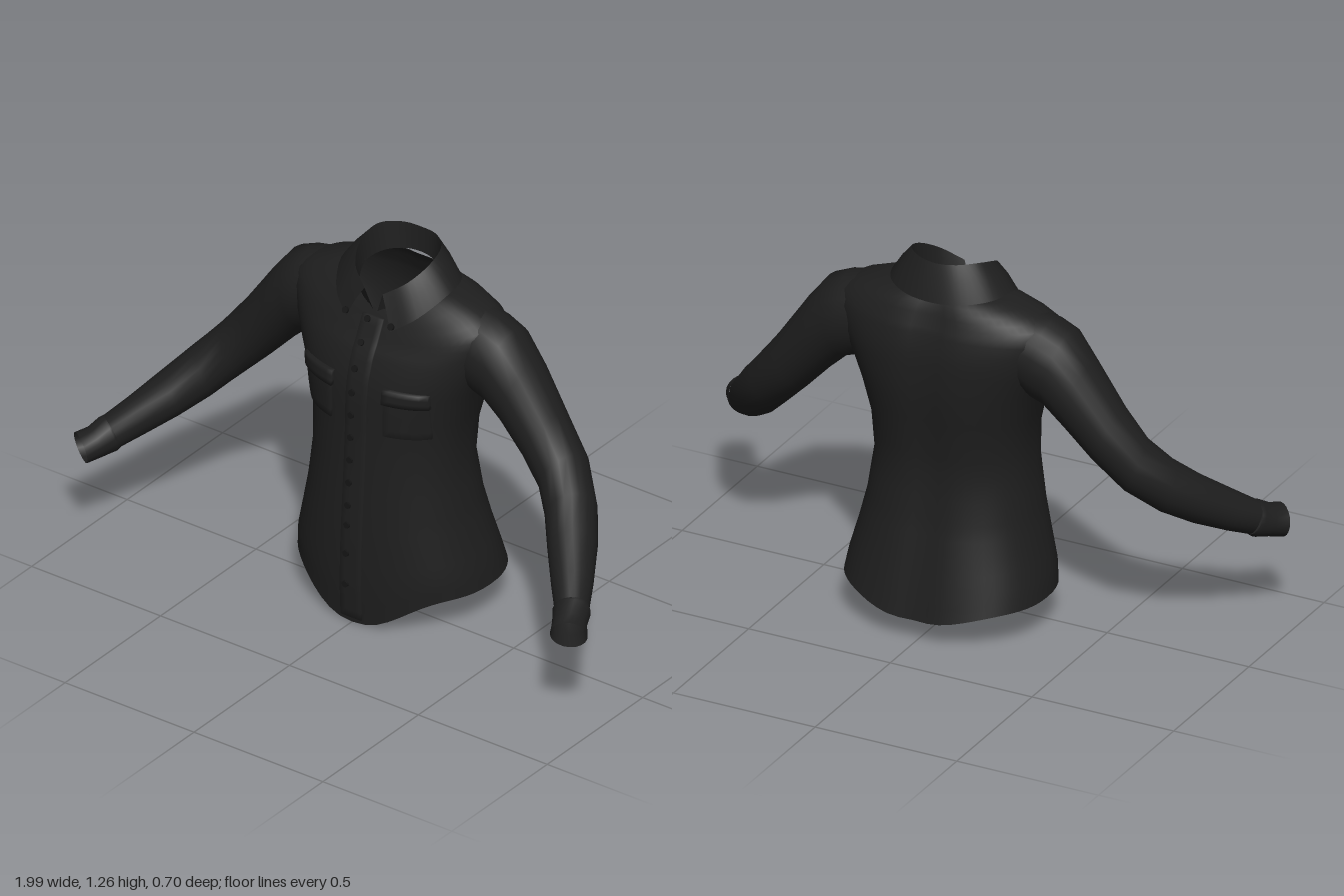
import * as THREE from 'three';

const cloth = new THREE.MeshStandardMaterial({ color: 0x1e1e1e, side: THREE.DoubleSide });
cloth.name = 'black cloth';
const buttonBlack = new THREE.MeshStandardMaterial({ color: 0x151515 });
buttonBlack.name = 'button black';

// Surface through rows of points; wrap joins each row's end to its start
function loft(rows, wrap) {
  const n = rows[0].length, pos = [], idx = [];
  rows.forEach(r => r.forEach(p => pos.push(p.x, p.y, p.z)));
  for (let i = 0; i < rows.length - 1; i++) {
    for (let j = 0; j < (wrap ? n : n - 1); j++) {
      const k = (j + 1) % n, a = i * n + j, b = i * n + k;
      idx.push(a, b, b + n, a, b + n, a + n);
    }
  }
  const g = new THREE.BufferGeometry();
  g.setAttribute('position', new THREE.Float32BufferAttribute(pos, 3));
  g.setIndex(idx);
  g.computeVertexNormals();
  return g;
}

function add(group, name, geo, mat = cloth) {
  const m = new THREE.Mesh(geo, mat);
  m.name = name;
  group.add(m);
  return m;
}

// Torso rings: side y, front y, back y, half width, front z, back z
const BODY = [
  [0.13, 0, 0.08, 0.34, 0.172, -0.36],
  [0.2, 0.14, 0.18, 0.33, 0.178, -0.337],
  [0.3, 0.28, 0.3, 0.305, 0.174, -0.308],
  [0.4, 0.4, 0.4, 0.283, 0.167, -0.283],
  [0.55, 0.55, 0.55, 0.263, 0.157, -0.26],
  [0.68, 0.68, 0.68, 0.27, 0.15, -0.27],
  [0.8, 0.8, 0.8, 0.3, 0.147, -0.287],
  [0.88, 0.87, 0.88, 0.33, 0.138, -0.292],
  [0.96, 0.945, 0.97, 0.365, 0.115, -0.29],
  [1.04, 0.99, 1.04, 0.385, 0.09, -0.274],
  [1.085, 1.02, 1.08, 0.37, 0.076, -0.257],
  [1.12, 1.045, 1.12, 0.31, 0.064, -0.24],
  [1.15, 1.065, 1.15, 0.22, 0.055, -0.217],
  [1.16, 1.085, 1.175, 0.125, 0.045, -0.187],
];
const EXP = 2 / 2.3;

// Point on the torso: v counts rings, t is the angle from the front
function bodyPoint(v, t) {
  const i = Math.min(Math.floor(v), BODY.length - 2), f = v - i;
  const [yS, yF, yB, w, zF, zB] = BODY[i].map((a, k) => a + (BODY[i + 1][k] - a) * f);
  const s = Math.sin(t), c = Math.cos(t);
  const x = w * Math.sign(s) * Math.abs(s) ** EXP;
  const cz = Math.sign(c) * Math.abs(c) ** EXP;
  const blend = Math.abs(c) ** (v < 3 ? 6 : 2);
  let z = (zF + zB) / 2 + cz * (zF - zB) / 2;
  if (c < 0) z += 0.014 * Math.exp(-((x / 0.06) ** 2)); // spine crease
  return new THREE.Vector3(x, yS + ((c > 0 ? yF : yB) - yS) * blend, z);
}

// Point on the chest above a given x and y
function frontPoint(x, y, lift = 0) {
  let lo = 0, hi = BODY.length - 1, p;
  for (let k = 0; k < 24; k++) {
    const v = (lo + hi) / 2, i = Math.min(Math.floor(v), BODY.length - 2);
    const w = BODY[i][3] + (BODY[i + 1][3] - BODY[i][3]) * (v - i);
    const s = Math.min(1, Math.abs(x) / w) ** (1 / EXP);
    p = bodyPoint(v, Math.sign(x) * Math.asin(s));
    if (p.y < y) lo = v; else hi = v;
  }
  return new THREE.Vector3(x, y, p.z + lift);
}

// Raised cloth patch that follows the chest, with a turned-down rim
function patch(x0, x1, y0, y1, lift, nx, ny) {
  const rows = [];
  for (let j = -1; j <= ny + 1; j++) {
    const row = [];
    for (let i = -1; i <= nx + 1; i++) {
      const u = THREE.MathUtils.clamp(i / nx, 0, 1), v = THREE.MathUtils.clamp(j / ny, 0, 1);
      const rim = i < 0 || j < 0 || i > nx || j > ny;
      row.push(frontPoint(x0 + (x1 - x0) * u, y0 + (y1 - y0) * v, rim ? -0.003 : lift));
    }
    rows.push(row);
  }
  return loft(rows, false);
}

// Sleeve rings: top x, top y, bottom x, bottom y, centre z, half depth
const SLEEVE = [
  [0.3, 1.12, 0.28, 0.86, -0.1, 0.12],
  [0.36, 1.108, 0.315, 0.835, -0.1, 0.123],
  [0.425, 1.08, 0.355, 0.82, -0.1, 0.12],
  [0.5, 0.985, 0.425, 0.755, -0.1, 0.108],
  [0.6, 0.84, 0.51, 0.665, -0.092, 0.095],
  [0.68, 0.735, 0.6, 0.575, -0.072, 0.09],
  [0.75, 0.65, 0.68, 0.495, -0.01, 0.085],
  [0.81, 0.575, 0.75, 0.435, 0.07, 0.08],
  [0.88, 0.495, 0.81, 0.388, 0.16, 0.068],
  [0.925, 0.445, 0.86, 0.352, 0.225, 0.055],
];
const CUFF = [
  [0.925, 0.445, 0.86, 0.352, 0.222, 0.053],
  [0.932, 0.442, 0.865, 0.342, 0.235, 0.06],
  [0.945, 0.42, 0.895, 0.328, 0.275, 0.055],
  [0.965, 0.41, 0.928, 0.314, 0.315, 0.06],
];

function tubeRows(table) {
  const mids = table.map(([a, b, c, d, z]) => new THREE.Vector3((a + c) / 2, (b + d) / 2, z));
  return table.map(([a, b, c, d, , w], i) => {
    const along = mids[Math.min(i + 1, mids.length - 1)].clone().sub(mids[Math.max(i - 1, 0)]);
    const up = new THREE.Vector3((a - c) / 2, (b - d) / 2, 0);
    const side = along.cross(up).normalize().multiplyScalar(w);
    return Array.from({ length: 20 }, (_, k) => {
      const t = k / 20 * Math.PI * 2;
      return mids[i].clone().addScaledVector(up, Math.cos(t)).addScaledVector(side, Math.sin(t));
    });
  });
}

// Half collar edge mirrored into a full curve and sampled
function collarEdge(half) {
  const pts = half.map(p => new THREE.Vector3(...p));
  const other = pts.slice(0, -1).reverse().map(p => new THREE.Vector3(-p.x, p.y, p.z));
  return new THREE.CatmullRomCurve3([...pts, ...other]).getPoints(48);
}

export function createModel() {
  const shirt = new THREE.Group();
  shirt.name = 'shirt';

  // Torso
  const rows = [];
  for (let v = 0; v <= BODY.length - 1; v += 0.5) {
    rows.push(Array.from({ length: 56 }, (_, k) => bodyPoint(v, k / 56 * Math.PI * 2)));
  }
  add(shirt, 'torso', loft(rows, true));

  // Sleeves and cuffs
  for (const side of [1, -1]) {
    const arm = new THREE.Group();
    arm.name = side > 0 ? 'leftSleeve' : 'rightSleeve';
    add(arm, 'sleeve', loft(tubeRows(SLEEVE), true));
    add(arm, 'cuff', loft(tubeRows(CUFF), true));
    arm.scale.x = side;
    shirt.add(arm);
  }

  // Collar: standing band, fold and turned-down fall
  const base = collarEdge([[0.008, 1.075, 0.05], [0.09, 1.105, 0.01], [0.125, 1.15, -0.06],
    [0.11, 1.165, -0.13], [0.06, 1.172, -0.175], [0, 1.175, -0.187]]);
  const fold = collarEdge([[0.035, 1.15, 0.06], [0.1, 1.195, 0.02], [0.132, 1.238, -0.055],
    [0.122, 1.262, -0.13], [0.065, 1.263, -0.182], [0, 1.26, -0.195]]);
  const fall = collarEdge([[0.085, 1.045, 0.088], [0.155, 1.095, 0.045], [0.205, 1.155, -0.06],
    [0.18, 1.155, -0.16], [0.1, 1.148, -0.222], [0, 1.143, -0.238]]);
  const middle = fold.map((p, i) => p.clone().lerp(fall[i], 0.5).add(new THREE.Vector3(0, 0.008, 0)));
  add(shirt, 'collarStand', loft([base, fold], false));
  add(shirt, 'collarFall', loft([fold, middle, fall], false));

  // Front placket and chest pockets
  add(shirt, 'placket', patch(-0.04, 0.04, 0.02, 1.06, 0.007, 4, 40));
  for (const side of [1, -1]) {
    const [a, b] = side > 0 ? [0.1, 0.235] : [-0.235, -0.1];
    add(shirt, 'pocket', patch(a, b, 0.7, 0.85, 0.008, 6, 6));
    add(shirt, 'pocketFlap', patch(a - 0.004, b + 0.004, 0.815, 0.866, 0.015, 6, 3));
  }

  // Buttons down the front and on the collar points
  const disc = new THREE.CylinderGeometry(0.011, 0.011, 0.008, 12).rotateX(Math.PI / 2);
  const button = (p, tilt) => {
    const m = add(shirt, 'button', disc, buttonBlack);
    m.position.copy(p);
    m.rotation.x = tilt;
  };
  for (const y of [0.14, 0.25, 0.35, 0.42, 0.5, 0.58, 0.66, 0.74, 0.82, 0.9, 0.98, 1.05]) {
    const slope = (frontPoint(-0.015, y + 0.01).z - frontPoint(-0.015, y - 0.01).z) / 0.02;
    button(frontPoint(-0.015, y, 0.01), Math.atan(slope));
  }
  for (const x of [-0.088, 0.088]) button(new THREE.Vector3(x, 1.064, 0.088), -0.4);

  return shirt;
}
